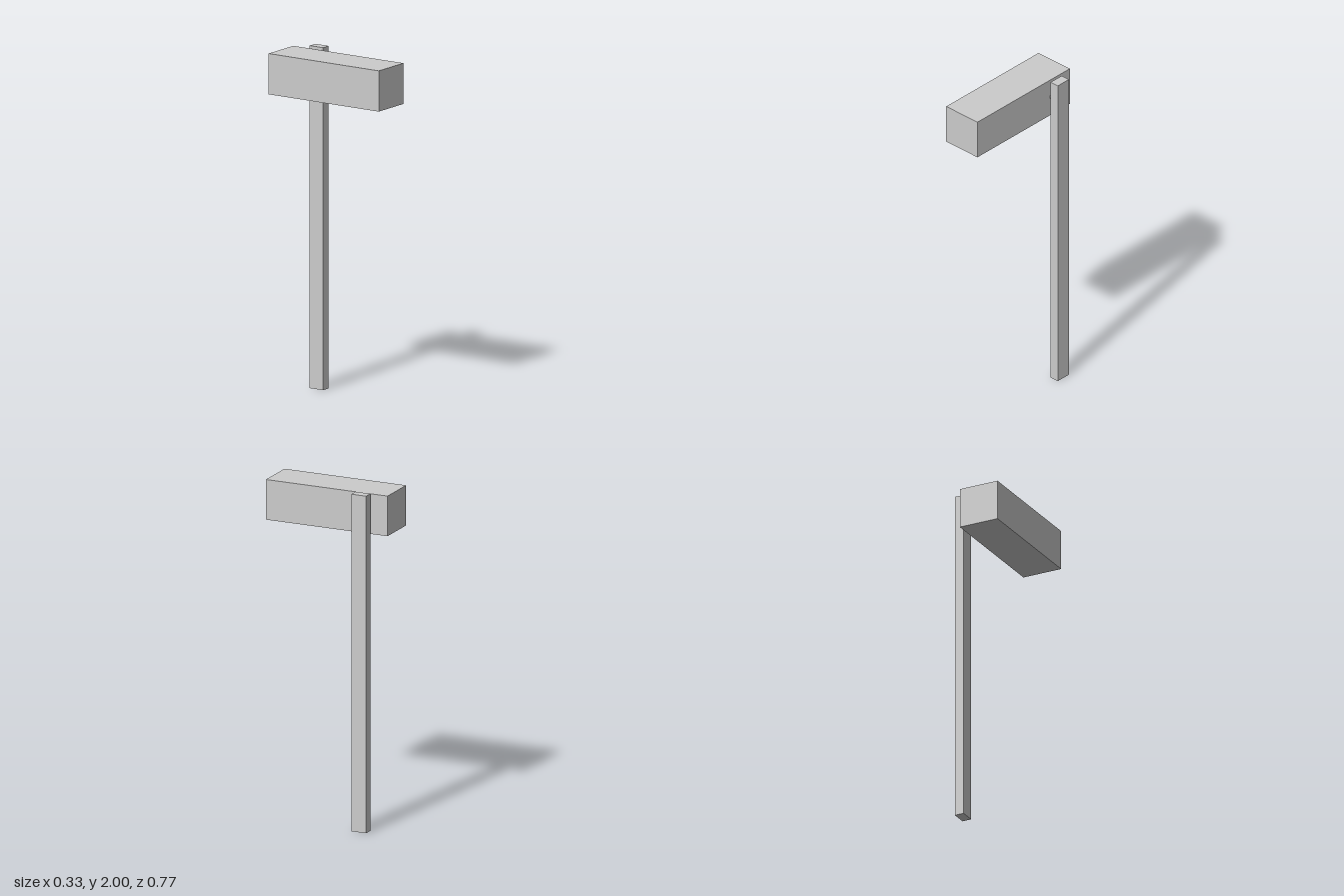
import * as THREE from 'three';

export function createModel() {
  const group = new THREE.Group();
  const material = new THREE.MeshStandardMaterial({ color: 0xcccccc, flatShading: true });

  const add = (name, geometry, x, y, z) => {
    const mesh = new THREE.Mesh(geometry, material);
    mesh.name = name;
    mesh.position.set(x, y, z);
    group.add(mesh);
    return mesh;
  };

  const pivotZ = -0.243;

  // Long block carried at the top of the post
  add('headBlock', new THREE.BoxGeometry(0.243, 0.238, 0.77), -0.0415, 1.872, 0);

  // Upright post
  add('post', new THREE.BoxGeometry(0.056, 2, 0.093), 0.135, 1, pivotZ);

  // Eight-sided pin joining block and post
  const pin = add('pivotPin', new THREE.CylinderGeometry(0.0245, 0.0245, 0.029, 8), 0.093, 1.876, pivotZ);
  pin.rotation.z = Math.PI / 2;

  return group;
}
